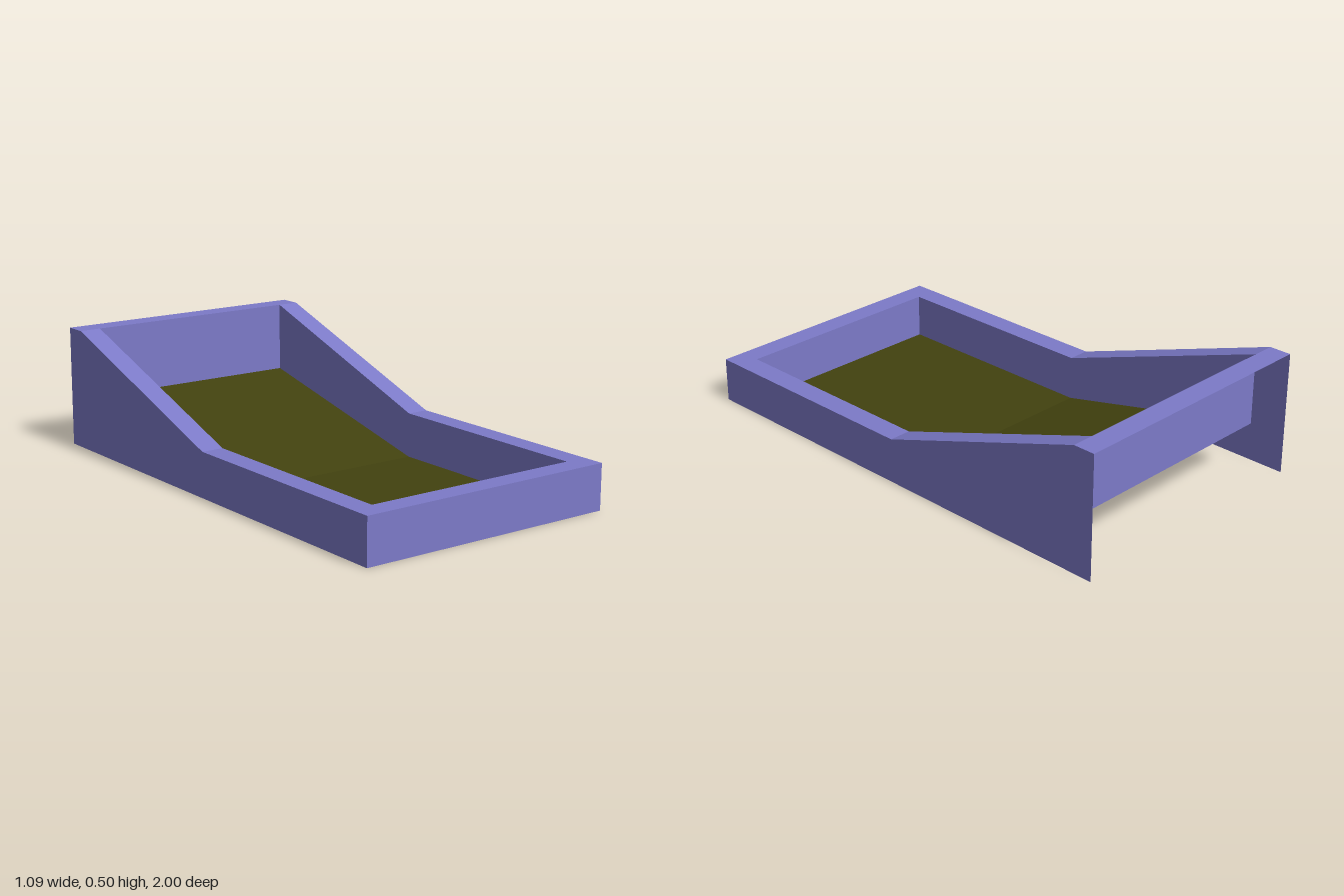
import * as THREE from 'three';

const OUT = 0.545, IN = 0.455;   // half widths of the outer shell and the opening
const END = 1, LIP = 0.91;       // half lengths of the outer shell and the opening
const LOW = 0.182, HIGH = 0.497; // rim heights at the front and back
const RISE = 0.21;               // floor height at the back

const blue = new THREE.MeshStandardMaterial({ color: 0x7c7ac8, side: THREE.DoubleSide });
blue.name = 'periwinkle shell';
const olive = new THREE.MeshStandardMaterial({ color: 0x42420f, side: THREE.DoubleSide });
olive.name = 'dark olive floor';

// Flat-faced sheet spanning two polylines with the same number of points
function sheet(name, material, a, b) {
  const pos = [];
  for (let i = 0; i < a.length - 1; i++) {
    pos.push(...a[i], ...b[i], ...b[i + 1], ...a[i], ...b[i + 1], ...a[i + 1]);
  }
  const geometry = new THREE.BufferGeometry();
  geometry.setAttribute('position', new THREE.Float32BufferAttribute(pos, 3));
  geometry.computeVertexNormals();
  const mesh = new THREE.Mesh(geometry, material);
  mesh.name = name;
  return mesh;
}

export function createModel() {
  const model = new THREE.Group();
  model.name = 'slopedTray';

  // Side profiles as [y, z], front to back
  const rim = [[LOW, END], [LOW, LIP], [LOW, 0], [HIGH, -LIP], [HIGH, -END]];
  const base = rim.map(([, z]) => [0, z]);
  const innerRim = rim.slice(1, 4);
  const floor = [[0, LIP], [0, 0], [RISE, -LIP]];
  const at = (x, profile) => profile.map(([y, z]) => [x, y, z]);
  const across = (x, y, z) => [[-x, y, z], [x, y, z]];

  // Left and right sides, wound so each face points outward
  for (const [side, s] of [['left', 1], ['right', -1]]) {
    const add = (name, a, b) => model.add(
      s > 0 ? sheet(side + name, blue, a, b) : sheet(side + name, blue, b, a));
    add('OuterWall', at(s * OUT, rim), at(s * OUT, base));
    add('Rim', at(s * IN, rim), at(s * OUT, rim));
    add('InnerWall', at(s * IN, floor), at(s * IN, innerRim));
    // Small web joining the inner and outer walls at the bend
    add('BendWeb', [[s * IN, LOW, 0], [s * OUT, LOW, 0]], [[s * IN, 0, 0], [s * OUT, 0, 0]]);
  }

  // Front end
  model.add(sheet('frontOuterWall', blue, across(OUT, LOW, END), across(OUT, 0, END)));
  model.add(sheet('frontRim', blue, across(IN, LOW, LIP), across(IN, LOW, END)));
  model.add(sheet('frontInnerWall', blue, across(IN, 0, LIP), across(IN, LOW, LIP)));

  // Back end, open behind the inner wall
  model.add(sheet('backRim', blue, across(IN, HIGH, -END), across(IN, HIGH, -LIP)));
  model.add(sheet('backInnerWall', blue, across(IN, HIGH, -LIP), across(IN, RISE, -LIP)));

  // Bent floor
  model.add(sheet('floor', olive, at(IN, floor), at(-IN, floor)));

  return model;
}
